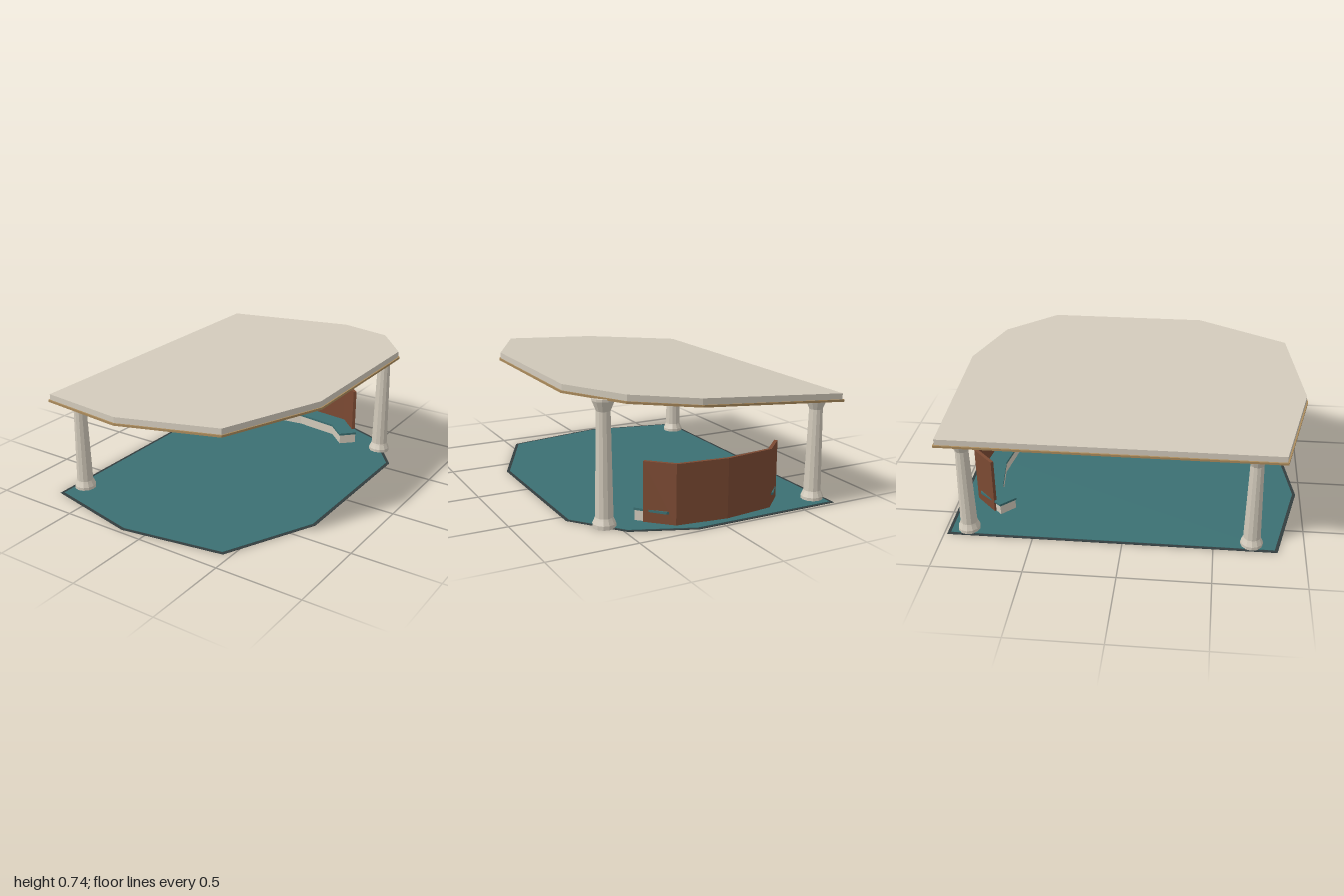
import * as THREE from 'three';

const mat = (name, color) => {
  const m = new THREE.MeshStandardMaterial({ color });
  m.name = name;
  return m;
};

export function createModel() {
  const stone = mat('stone', 0xd2cabb);
  const ceilingGrey = mat('ceilingGrey', 0xa9a396);
  const wood = mat('wood', 0x7c4a33);
  const tan = mat('tan', 0xab8b5c);
  const teal = mat('teal', 0x3b7073);
  const dark = mat('dark', 0x333d3f);

  const model = new THREE.Group();
  model.name = 'pavilion';
  const add = (name, geometry, material, x = 0, y = 0, z = 0) => {
    const mesh = new THREE.Mesh(geometry, material);
    mesh.name = name;
    mesh.position.set(x, y, z);
    model.add(mesh);
  };

  // Plan outlines are [x, z] points; a prism may be sheared upward along x
  const SLOPE = 0.08;
  const toVectors = (pts) => pts.map(([x, z]) => new THREE.Vector2(x, -z));
  const prism = (pts, y0, y1, slope = 0, hole = null) => {
    const shape = new THREE.Shape(toVectors(pts));
    if (hole) shape.holes.push(new THREE.Path(toVectors(hole)));
    const g = new THREE.ExtrudeGeometry(shape, { depth: y1 - y0, bevelEnabled: false });
    g.rotateX(-Math.PI / 2).translate(0, y0, 0);
    const p = g.attributes.position;
    for (let i = 0; i < p.count; i++) p.setY(i, p.getY(i) + slope * p.getX(i));
    g.computeVertexNormals();
    return g;
  };

  // Mitred inward offset of a convex outline (points run clockwise in plan)
  const inset = (pts, d) => pts.map((p, i) => {
    const a = pts[(i + pts.length - 1) % pts.length];
    const b = pts[(i + 1) % pts.length];
    const normal = (s, e) => {
      const l = Math.hypot(e[0] - s[0], e[1] - s[1]);
      return [-(e[1] - s[1]) / l, (e[0] - s[0]) / l];
    };
    const n = normal(a, p), m = normal(p, b);
    const k = d / (1 + n[0] * m[0] + n[1] * m[1]);
    return [p[0] + (n[0] + m[0]) * k, p[1] + (n[1] + m[1]) * k];
  });

  const outline = [
    [-0.73, -1], [0.15, -1], [0.5, -0.86], [0.725, -0.57],
    [0.725, 0.36], [0.47, 0.895], [-0.14, 0.995], [-0.73, 0.865],
  ];

  // Sloping roof: slab, trim band and recessed ceiling
  add('roofSlab', prism(inset(outline, 0.008), 0.645, 0.678, SLOPE), stone);
  add('roofTrim', prism(outline, 0.633, 0.645, SLOPE, inset(outline, 0.022)), tan);
  add('ceiling', prism(inset(outline, 0.022), 0.638, 0.645, SLOPE), ceilingGrey);

  // Thin floor with a dark border
  add('floorBorder', prism(inset(outline, 0.018), 0.001, 0.003), dark);
  add('floorSurface', prism(inset(outline, 0.036), 0.003, 0.005), teal);

  // Tapered columns with flared base and capital
  for (const [x, z] of [[-0.645, 0.71], [-0.645, -0.87], [0.56, -0.72]]) {
    const h = 0.638 + SLOPE * x;
    const profile = [
      [0, 0], [0.062, 0], [0.062, 0.022], [0.052, 0.045], [0.048, 0.055],
      [0.037, h - 0.068], [0.06, h - 0.013], [0.06, h], [0, h],
    ].map(([r, y]) => new THREE.Vector2(r, y));
    const g = new THREE.LatheGeometry(profile, 12).toNonIndexed();
    g.computeVertexNormals();
    add('column', g, stone, x, 0, z);
  }

  // Ceiling lamps: tan housing with a pale lens
  for (const [x, z] of [[-0.375, -0.24], [0.37, 0.235]]) {
    const y = 0.618 + SLOPE * x;
    add('lampHousing', new THREE.CylinderGeometry(0.043, 0.043, 0.036, 16), tan, x, y + 0.018, z);
    add('lampLens', new THREE.CylinderGeometry(0.036, 0.036, 0.004, 16), stone, x, y, z);
  }

  // Curved seat and screen: half profiles mirrored about their shared axis
  const AXIS = -0.0575;
  const band = (outer, inner) => {
    const full = (half) => [
      ...half.map(([x, z]) => [AXIS - x, z]),
      ...half.slice(0, -1).reverse().map(([x, z]) => [AXIS + x, z]),
    ];
    return [...full(outer), ...full(inner).reverse()];
  };
  const screen = band(
    [[0.4175, -0.765], [0.29, -0.89], [0, -0.925]],
    [[0.403, -0.753], [0.28, -0.873], [0, -0.907]],
  );
  const seat = band(
    [[0.445, -0.722], [0.318, -0.845], [0, -0.89]],
    [[0.371, -0.65], [0.262, -0.752], [0, -0.787]],
  );
  const cushion = band(
    [[0.45, -0.722], [0.332, -0.862], [0, -0.9]],
    [[0.372, -0.643], [0.26, -0.747], [0, -0.782]],
  );
  add('curvedScreen', prism(screen, 0, 0.335), wood);
  add('benchBase', prism(seat, 0, 0.062), stone);
  add('benchSeat', prism(cushion, 0.062, 0.075), teal);

  return model;
}
